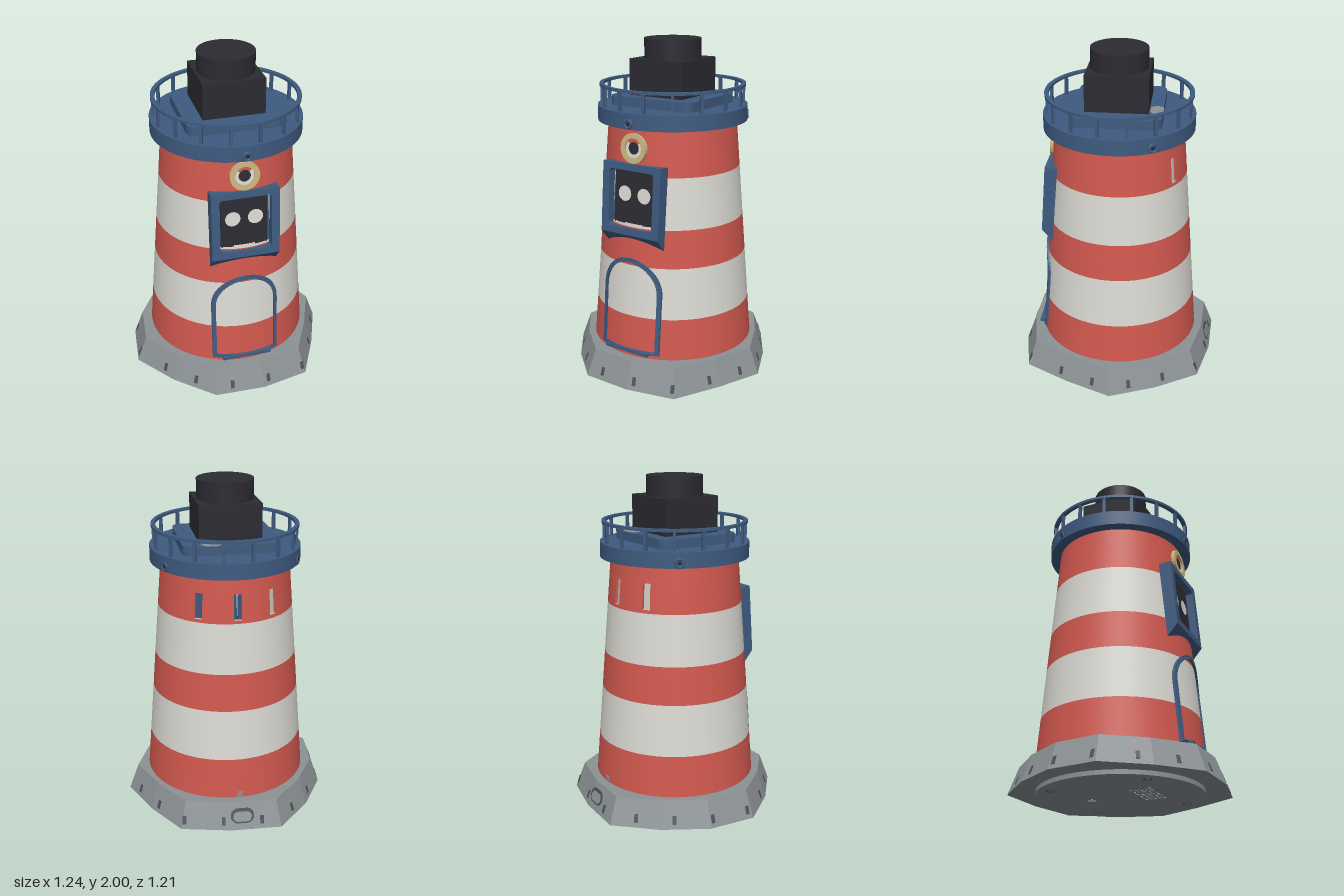
import * as THREE from 'three';
import { ConvexGeometry } from 'three/addons/geometries/ConvexGeometry.js';

const mat = (name, color, side = THREE.FrontSide) => {
  const m = new THREE.MeshStandardMaterial({ color, side });
  m.name = name;
  return m;
};

// Tower cone: radius at a height, and its slope
const SLOPE = 0.0796;
const radiusAt = (y) => 0.487 - SLOPE * (y - 0.185);
const TILT = Math.atan(SLOPE);

function roundedRect(w, h, r, Type = THREE.Shape) {
  const s = new Type();
  const x = w / 2, y = h / 2;
  s.absarc(x - r, y - r, r, 0, Math.PI / 2);
  s.absarc(-x + r, y - r, r, Math.PI / 2, Math.PI);
  s.absarc(-x + r, -y + r, r, Math.PI, Math.PI * 1.5);
  s.absarc(x - r, -y + r, r, Math.PI * 1.5, Math.PI * 2);
  s.closePath();
  return s;
}
const extrude = (shape, depth) =>
  new THREE.ExtrudeGeometry(shape, { depth, bevelEnabled: false, curveSegments: 12 });

export function createModel() {
  const model = new THREE.Group();
  model.name = 'lighthouse';
  const red = mat('red', 0xd2594f, THREE.DoubleSide);
  const white = mat('white', 0xdcdad3, THREE.DoubleSide);
  const grey = mat('stoneGrey', 0x8c9295);
  const darkGrey = mat('slotGrey', 0x4c5053);
  const blue = mat('blue', 0x3f5b80);
  const black = mat('black', 0x2c2b33);
  const brass = mat('brass', 0xcbb67e);

  const add = (name, geo, material, x = 0, y = 0, z = 0, parent = model) => {
    const m = new THREE.Mesh(geo, material);
    m.name = name;
    m.position.set(x, y, z);
    parent.add(m);
    return m;
  };
  const cylinder = (r, h, seg = 64) => new THREE.CylinderGeometry(r, r, h, seg);

  // Faceted rocky base
  const outline = [[0.62, 0], [0.51, 0.27], [0.37, 0.54], [0.08, 0.6], [-0.22, 0.59], [-0.44, 0.39], [-0.62, 0.15],
    [-0.59, -0.14], [-0.44, -0.39], [-0.23, -0.605], [0.07, -0.59], [0.36, -0.52], [0.51, -0.27]];
  const Y0 = 0.025, Y1 = 0.185, INSET = 0.095;
  add('base', new ConvexGeometry(outline.flatMap(([x, z]) => [
    new THREE.Vector3(x, Y0, z),
    new THREE.Vector3(x * (1 - INSET), Y1, z * (1 - INSET)),
  ])), grey);
  add('foot', cylinder(0.48, Y0), grey, 0, Y0 / 2, 0);

  // Lays a thin plate on the base facet found at an angle from the front
  function onBase(name, geo, material, phi, y) {
    const d = [Math.sin(phi), Math.cos(phi)];
    const cross = (p, q) => p[0] * q[1] - p[1] * q[0];
    outline.forEach((a, i) => {
      const b = outline[(i + 1) % outline.length];
      const e = [b[0] - a[0], b[1] - a[1]];
      const t = cross(a, e) / cross(d, e), u = cross(a, d) / cross(d, e);
      if (t < 0 || u < 0 || u >= 1) return;
      const s = t * (1 - INSET * (y - Y0) / (Y1 - Y0));
      const m = add(name, geo, material, d[0] * s, y, d[1] * s);
      const dist = Math.abs(cross(a, e)) / Math.hypot(...e);
      m.rotation.set(-Math.atan(INSET * dist / (Y1 - Y0)), Math.atan2(e[1], -e[0]), 0, 'YXZ');
      // Face outward whichever way the outline runs
      const n = new THREE.Vector3(0, 0, 1).applyEuler(m.rotation);
      if (n.x * d[0] + n.z * d[1] < 0) m.rotation.y += Math.PI;
    });
  }
  for (let i = 0; i < 16; i++) {
    onBase('baseSlot', new THREE.BoxGeometry(0.022, 0.05, 0.005), darkGrey, (i + 0.5) * Math.PI / 8, 0.075);
  }
  onBase('cablePortRim', extrude(roundedRect(0.14, 0.09, 0.044), 0.003), darkGrey, Math.PI, 0.105);
  onBase('cablePort', extrude(roundedRect(0.11, 0.06, 0.029), 0.005), grey, Math.PI, 0.1);

  // Underside: screws, hole and vent dots
  for (let i = 0; i < 4; i++) {
    const a = Math.PI / 4 + i * Math.PI / 2;
    add('screwWell', cylinder(0.026, 0.004, 20), darkGrey, 0.41 * Math.cos(a), 0.001, 0.41 * Math.sin(a));
    add('screw', cylinder(0.017, 0.006, 20), grey, 0.41 * Math.cos(a), 0.001, 0.41 * Math.sin(a));
  }
  add('bottomHole', cylinder(0.025, 0.004, 20), white, 0, 0.001, -0.18);
  for (let r = 0; r < 5; r++) for (let c = 0; c < 8; c++) {
    add('ventDot', cylinder(0.008, 0.004, 8), white, (c - 3.75 + (r % 2) / 2) * 0.032, 0.001, 0.17 + (r - 2) * 0.028);
  }

  // Hollow striped tower: each section runs between two heights, with openings [angle, half width]
  const WALL = 0.015;
  function section(y0, y1, material, gaps = []) {
    const start = gaps.length ? gaps[0][0] + gaps[0][1] : 0;
    const list = gaps.length ? gaps : [[0, 0]];
    list.forEach(([a, w], i) => {
      const from = gaps.length ? a + w : start;
      const next = i + 1 < list.length ? list[i + 1] : [list[0][0] + Math.PI * 2, list[0][1]];
      const len = next[0] - next[1] - from;
      const seg = Math.max(2, Math.ceil(len * 16));
      const shell = (inset) => new THREE.CylinderGeometry(
        radiusAt(y1) - inset, radiusAt(y0) - inset, y1 - y0, seg, 1, true, from, len);
      add('towerBand', shell(0), material, 0, (y0 + y1) / 2);
      add('towerLining', shell(WALL), white, 0, (y0 + y1) / 2);
      if (!gaps.length) return;
      for (const edge of [from, from + len]) {
        const r = radiusAt((y0 + y1) / 2) - WALL / 2;
        const jamb = add('openingJamb', new THREE.BoxGeometry(0.002, y1 - y0, WALL), material,
          r * Math.sin(edge), (y0 + y1) / 2, r * Math.cos(edge));
        jamb.rotation.set(-TILT, edge, 0, 'YXZ');
      }
    });
  }
  const windowGap = [0, 0.38];
  const slots = [-0.57, 0, 0.57].map((a) => [Math.PI + a, 0.06]);
  section(0.185, 0.43, red);
  section(0.43, 0.735, white);
  section(0.735, 0.96, red);
  section(0.96, 0.975, white);
  section(0.975, 1.26, white, [windowGap]);
  section(1.26, 1.28, red, [windowGap]);
  section(1.28, 1.295, red, [windowGap, ...slots]);
  section(1.295, 1.43, red, slots);
  section(1.43, 1.54, red);
  add('backNotch', new THREE.BoxGeometry(0.03, 0.035, 0.008), grey, 0, 0.203, -radiusAt(0.2));

  // Arched door frame, bent onto the cone
  function archPoints(half, bottom, spring) {
    const pts = [];
    for (let i = 0; i <= 12; i++) pts.push(new THREE.Vector2(-half + 2 * half * i / 12, bottom));
    for (let i = 1; i < 6; i++) pts.push(new THREE.Vector2(half, bottom + (spring - bottom) * i / 6));
    for (let i = 0; i <= 24; i++) {
      const a = Math.PI * i / 24;
      pts.push(new THREE.Vector2(half * Math.cos(a), spring + half * Math.sin(a)));
    }
    for (let i = 5; i > 0; i--) pts.push(new THREE.Vector2(-half, bottom + (spring - bottom) * i / 6));
    return pts;
  }
  const arch = new THREE.Shape(archPoints(0.203, 0.21, 0.572));
  arch.holes.push(new THREE.Path(archPoints(0.18, 0.228, 0.572)));
  const doorGeo = extrude(arch, 0.025);
  const p = doorGeo.attributes.position;
  for (let i = 0; i < p.count; i++) {
    const x = p.getX(i);
    p.setZ(i, p.getZ(i) - 0.012 + Math.sqrt(radiusAt(p.getY(i)) ** 2 - x * x));
  }
  doorGeo.computeVertexNormals();
  add('doorFrame', doorGeo, blue);
  add('doorSill', new THREE.BoxGeometry(0.3, 0.018, 0.06), blue, 0, 0.215, 0.467);

  // Window box leaning with the wall; its underside slopes back
  const win = new THREE.Group();
  win.name = 'window';
  win.position.set(0, 1.12, radiusAt(1.12));
  win.rotation.x = -TILT;
  model.add(win);
  const frame = new THREE.Shape([[-0.2, -0.208], [0.2, -0.208], [0.2, 0.206], [-0.2, 0.206]]
    .map(([x, y]) => new THREE.Vector2(x, y)));
  frame.holes.push(roundedRect(0.305, 0.335, 0.02, THREE.Path));
  const frameGeo = extrude(frame, 0.085);
  const fp = frameGeo.attributes.position;
  for (let i = 0; i < fp.count; i++) {
    if (fp.getY(i) < -0.2 && fp.getZ(i) < 0.01) fp.setY(i, fp.getY(i) - 0.085);
  }
  frameGeo.computeVertexNormals();
  add('windowFrame', frameGeo, blue, 0, 0, -0.065, win);
  add('windowBacking', new THREE.BoxGeometry(0.33, 0.35, 0.006), blue, 0, 0, -0.034, win);
  add('windowPane', extrude(roundedRect(0.276, 0.318, 0.015), 0.012), black, 0, 0.006, -0.032, win);
  for (const s of [-1, 1]) {
    add('eye', new THREE.CircleGeometry(0.045, 28), white, s * 0.067, 0.025, -0.018, win);
  }

  // Round brass lamp above the window
  const lamp = new THREE.Group();
  lamp.name = 'porthole';
  lamp.position.set(0, 1.415, radiusAt(1.415));
  lamp.rotation.x = -TILT;
  model.add(lamp);
  const ring = new THREE.Shape().absarc(0, 0, 0.087, 0, Math.PI * 2);
  ring.holes.push(new THREE.Path().absarc(0, 0, 0.056, 0, Math.PI * 2));
  add('portholeRing', extrude(ring, 0.03), brass, 0, 0, -0.018, lamp);
  add('portholeGlass', new THREE.CircleGeometry(0.058, 32), white, 0, 0, 0.002, lamp);
  add('portholeShade', new THREE.RingGeometry(0.034, 0.058, 24, 1, 0.7, Math.PI - 1.4), red, 0, 0, 0.003, lamp);
  add('portholeLens', new THREE.CircleGeometry(0.035, 32), black, 0, 0, 0.004, lamp);

  // Gallery deck, railing and bolts
  add('galleryDeck', cylinder(0.442, 0.09, 80), blue, 0, 1.575, 0);
  const rail = new THREE.Shape().absarc(0, 0, 0.43, 0, Math.PI * 2);
  rail.holes.push(new THREE.Path().absarc(0, 0, 0.405, 0, Math.PI * 2));
  const railGeo = new THREE.ExtrudeGeometry(rail, { depth: 0.016, bevelEnabled: false, curveSegments: 64 });
  add('railing', railGeo.rotateX(-Math.PI / 2), blue, 0, 1.728, 0);
  for (let i = 0; i < 16; i++) {
    const a = (i + 0.5) * Math.PI / 8;
    const post = add('railingPost', new THREE.BoxGeometry(0.018, 0.115, 0.016), blue,
      0.418 * Math.sin(a), 1.675, 0.418 * Math.cos(a));
    post.rotation.y = a;
  }
  for (let i = 0; i < 3; i++) {
    const a = i * Math.PI * 2 / 3;
    const bolt = add('galleryBolt', new THREE.TorusGeometry(0.023, 0.006, 8, 24), blue,
      0.442 * Math.sin(a), 1.56, 0.442 * Math.cos(a));
    bolt.rotation.y = a;
    add('boltHead', new THREE.CircleGeometry(0.012, 16), black, 0, 0, 0.003, bolt);
  }

  // Raised plate with slots, and the lantern
  const flat = (shape, depth) => extrude(shape, depth).rotateX(-Math.PI / 2);
  add('lanternPlate', flat(roundedRect(0.565, 0.52, 0.06), 0.055), blue, 0, 1.62, 0);
  add('plateOpening', flat(roundedRect(0.115, 0.075, 0.035), 0.004), grey, 0.115, 1.674, -0.225);
  for (const [x, z] of [[0, -0.225], [-0.22, 0.075], [0.22, 0.075]]) {
    add('plateSlot', flat(roundedRect(0.022, 0.045, 0.01), 0.003), blue, x, 1.674, z);
  }
  add('lanternBox', new THREE.BoxGeometry(0.362, 0.265, 0.362), black, 0, 1.7525, 0);
  add('lanternCap', cylinder(0.166, 0.115), black, 0, 1.9425, 0);

  return model;
}
